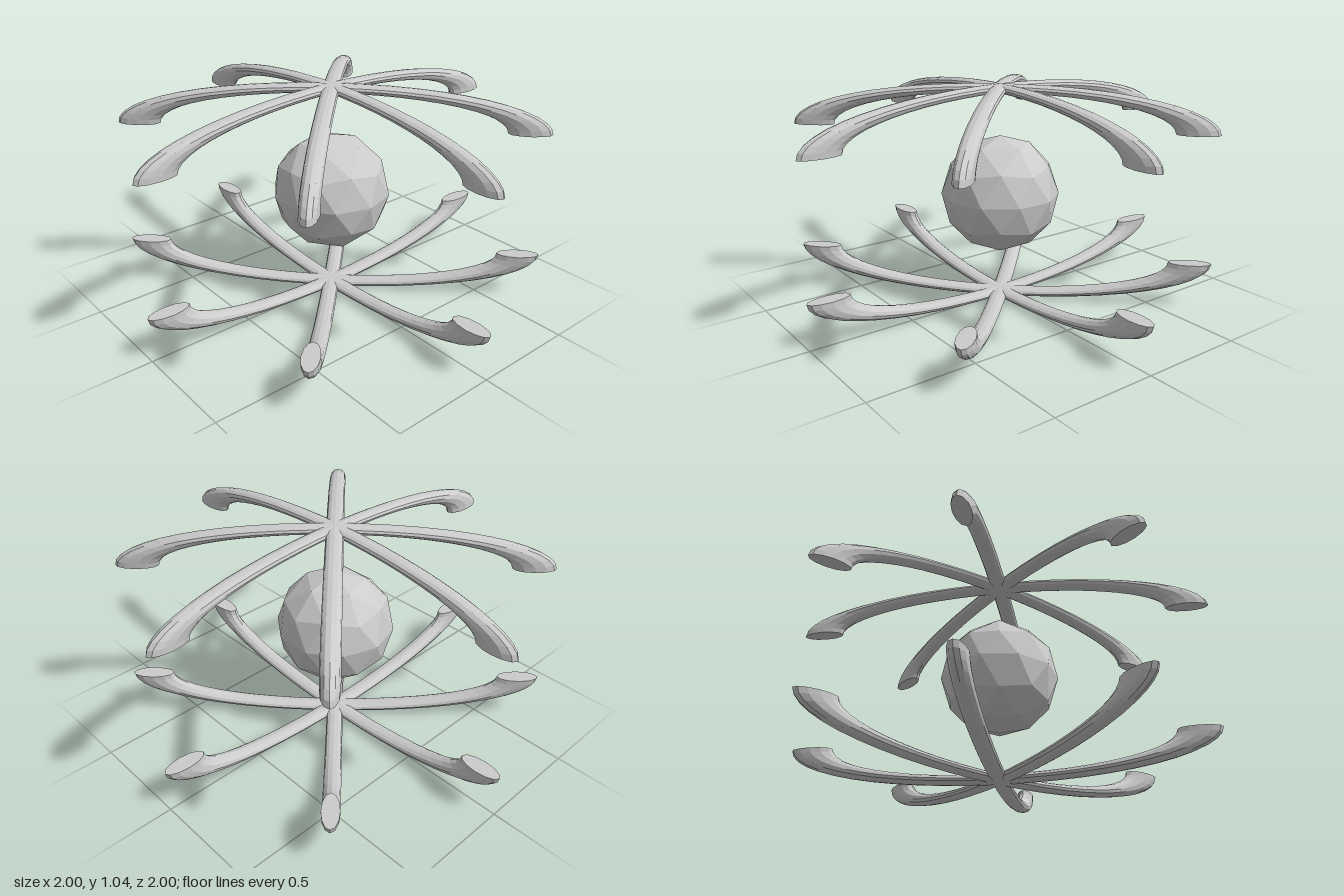
import * as THREE from 'three';

const CENTER_Y = 0.52;
const ARCH_BASE = 0.307; // distance of the arch ends from the centre plane

// Flattened half ring with closed ends, standing on its own y = 0
function makeArch(material) {
  const arch = new THREE.Group();
  const ring = new THREE.Mesh(new THREE.TorusGeometry(0.9, 0.1, 12, 24, Math.PI), material);
  ring.name = 'archBar';
  arch.add(ring);
  for (const side of [1, -1]) {
    const cap = new THREE.Mesh(new THREE.CircleGeometry(0.1, 12).rotateX(Math.PI / 2), material);
    cap.position.x = side * 0.9;
    cap.name = 'archEnd';
    arch.add(cap);
  }
  arch.scale.set(1, 0.213, 0.4);
  return arch;
}

// Four crossing arches form eight spokes
function makeCage(name, material) {
  const cage = new THREE.Group();
  cage.name = name;
  for (let i = 0; i < 4; i++) {
    const arch = makeArch(material);
    arch.name = 'arch';
    arch.rotation.y = (i * Math.PI) / 4;
    cage.add(arch);
  }
  return cage;
}

export function createModel() {
  const model = new THREE.Group();
  model.name = 'cagedOrb';
  const material = new THREE.MeshStandardMaterial({ color: 0xcccccc, flatShading: true });

  // Faceted core, turned so a corner points straight up
  const golden = (1 + Math.sqrt(5)) / 2;
  const coreGeometry = new THREE.IcosahedronGeometry(0.278, 1).rotateZ(-Math.atan(1 / golden));
  const core = new THREE.Mesh(coreGeometry, material);
  core.name = 'core';
  core.position.y = CENTER_Y;
  model.add(core);

  // Upper cage, and the same turned over below
  const upper = makeCage('upperCage', material);
  upper.position.y = CENTER_Y + ARCH_BASE;
  const lower = makeCage('lowerCage', material);
  lower.rotation.x = Math.PI;
  lower.position.y = CENTER_Y - ARCH_BASE;
  model.add(upper, lower);

  return model;
}
